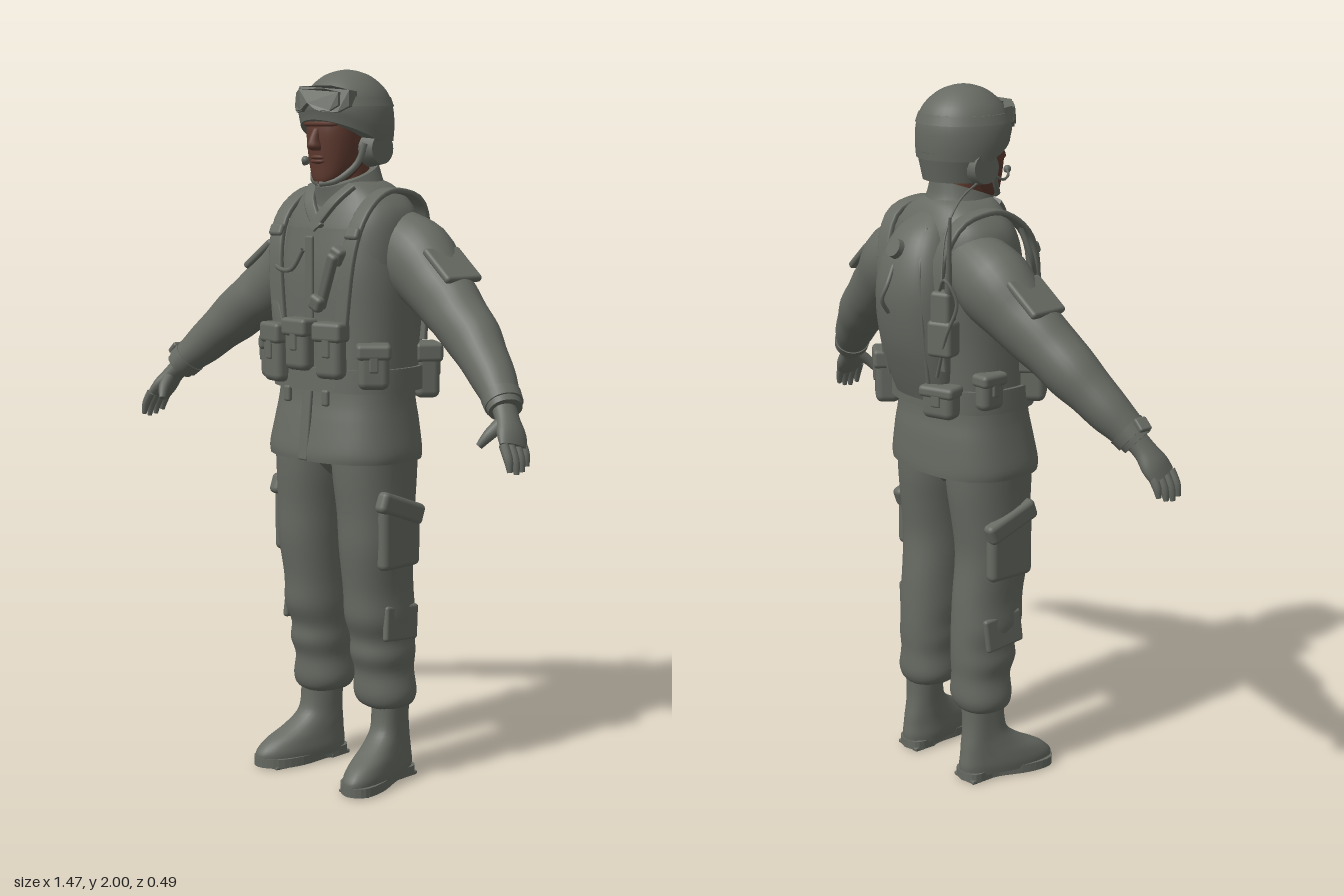
import * as THREE from 'three';
import { RoundedBoxGeometry } from 'three/addons/geometries/RoundedBoxGeometry.js';

const V = (p) => new THREE.Vector3(...p);
const cloth = new THREE.MeshStandardMaterial({ color: 0x666a62, side: THREE.DoubleSide });
cloth.name = 'greyGreenCloth';
const skin = new THREE.MeshStandardMaterial({ color: 0x5e3a2f });
skin.name = 'skin';

// Smooth body through sections [x, y, z, a, b]; a and b are half-widths across the path.
function loft(sections, { n = 2, seg = 28, sub = 4, flat = false, ref = [0, 0, 1] } = {}) {
  const pts = [], cr = (p, q, r, s, t) =>
    0.5 * (2 * q + (r - p) * t + (2 * p - 5 * q + 4 * r - s) * t * t + (3 * q - p - 3 * r + s) * t * t * t);
  const last = sections.length - 1, at = (i) => sections[Math.min(last, Math.max(0, i))];
  for (let i = 0; i < last; i++)
    for (let k = 0; k < sub; k++)
      pts.push(at(i).map((q, c) => cr(at(i - 1)[c], q, at(i + 1)[c], at(i + 2)[c], k / sub)));
  pts.push(sections[last]);
  const pos = [], idx = [], pow = (v) => Math.sign(v) * Math.abs(v) ** (2 / n);
  const ring = (i) => {
    const lo = V(pts[Math.max(0, i - 1)].slice(0, 3)), hi = V(pts[Math.min(pts.length - 1, i + 1)].slice(0, 3));
    const t = hi.sub(lo).normalize();
    if (flat) t.set(0, Math.sign(t.y), 0);
    const u = V(ref).cross(t).normalize(), v = t.clone().cross(u);
    const [x, y, z, a, b] = pts[i];
    for (let j = 0; j < seg; j++) {
      const w = (j / seg) * Math.PI * 2;
      const p = V([x, y, z]).addScaledVector(u, a * pow(Math.cos(w))).addScaledVector(v, b * pow(Math.sin(w)));
      pos.push(p.x, p.y, p.z);
    }
  };
  pts.forEach((_, i) => ring(i));
  for (let i = 0; i < pts.length - 1; i++)
    for (let j = 0; j < seg; j++) {
      const k = (j + 1) % seg, a = i * seg, b = a + seg;
      idx.push(a + j, a + k, b + k, a + j, b + k, b + j);
    }
  for (const i of [0, pts.length - 1]) {
    const base = pos.length / 3;
    ring(i);
    pos.push(...pts[i].slice(0, 3));
    for (let j = 0; j < seg; j++) {
      const k = (j + 1) % seg;
      idx.push(base + seg, base + (i ? j : k), base + (i ? k : j));
    }
  }
  const g = new THREE.BufferGeometry();
  g.setAttribute('position', new THREE.Float32BufferAttribute(pos, 3));
  g.setIndex(idx);
  g.computeVertexNormals();
  return g;
}

// Moves every vertex by a rule.
function warp(g, rule) {
  const p = g.attributes.position, v = new THREE.Vector3();
  for (let i = 0; i < p.count; i++) {
    rule(v.fromBufferAttribute(p, i));
    p.setXYZ(i, v.x, v.y, v.z);
  }
  g.computeVertexNormals();
  return g;
}

export function createModel() {
  const model = new THREE.Group();
  model.name = 'soldier';
  const add = (name, geo, mat = cloth, pos = [0, 0, 0], rot = [0, 0, 0]) => {
    const m = new THREE.Mesh(geo, mat);
    m.name = name;
    m.position.set(...pos);
    m.rotation.set(...rot);
    model.add(m);
    return m;
  };
  const box = (name, size, pos, rot, r = 0.012) =>
    add(name, new RoundedBoxGeometry(...size, 3, Math.min(r, Math.min(...size) * 0.45)), cloth, pos, rot);
  const cord = (name, pts, r) =>
    add(name, new THREE.TubeGeometry(new THREE.CatmullRomCurve3(pts.map(V)), 28, r, 6), cloth);
  const strap = (name, pts, width) =>
    add(name, loft(pts.map((p) => [...p, 0.008, width / 2]), { n: 5, seg: 16, ref: [1, 0, 0] }));
  // Belt pouch with a flap and a fastening tab
  const pouch = (name, [w, h, d], pos, ry = 0) => {
    const body = box(name, [w, h, d], pos, [0, ry, 0], 0.02);
    for (const [s, p] of [[[w + 0.01, h * 0.36, d + 0.01], [0, h * 0.36, 0.002]], [[w * 0.3, h * 0.4, 0.012], [0, h * 0.1, d / 2]]]) {
      const f = box(name + 'Flap', s, p);
      body.add(f);
    }
  };

  // Jacket: [y, half width, front z, back z], grown by an offset for the vest and belt
  const torso = (rows, grow = 0) => loft(rows.map(([y, w, f, b]) =>
    [0, y, (f + b) / 2, w + grow, (f - b) / 2 + grow]), { flat: true, n: 2.5, seg: 40 });
  add('jacket', torso([[0.93, 0.228, 0.215, -0.12], [0.96, 0.23, 0.215, -0.12], [1.04, 0.216, 0.2, -0.115],
    [1.12, 0.205, 0.185, -0.105], [1.3, 0.195, 0.175, -0.11], [1.45, 0.2, 0.172, -0.125], [1.55, 0.2, 0.16, -0.125],
    [1.61, 0.19, 0.142, -0.115], [1.65, 0.16, 0.125, -0.1], [1.685, 0.11, 0.115, -0.08], [1.7, 0.07, 0.1, -0.06]]));
  add('vest', torso([[1.14, 0.2, 0.18, -0.11], [1.3, 0.196, 0.175, -0.115], [1.45, 0.192, 0.172, -0.13], [1.57, 0.175, 0.155, -0.125]], 0.01));
  add('belt', torso([[1.125, 0.205, 0.186, -0.115], [1.19, 0.203, 0.183, -0.115]], 0.017));
  box('jacketPlacket', [0.035, 0.2, 0.012], [0, 1.03, 0.203], [-0.1, 0, 0]);
  box('vestClosure', [0.03, 0.36, 0.012], [0, 1.37, 0.186]);

  // Collar, higher behind the neck
  add('collar', warp(loft([[0, 1.63, 0.03, 0.11, 0.11], [0, 1.67, 0.035, 0.095, 0.1], [0, 1.715, 0.04, 0.075, 0.1]],
    { flat: true }), (v) => { v.y -= 0.35 * (v.z - 0.04); }));
  add('neck', loft([[0, 1.62, 0.03, 0.06, 0.065], [0, 1.78, 0.04, 0.058, 0.06]], { flat: true }), skin);

  // Head and face
  add('head', loft([[0, 1.69, 0.112, 0.03, 0.035], [0, 1.705, 0.1, 0.05, 0.052], [0, 1.74, 0.082, 0.067, 0.073],
    [0, 1.79, 0.072, 0.077, 0.088], [0, 1.84, 0.066, 0.082, 0.095], [0, 1.9, 0.05, 0.085, 0.1]], { flat: true, n: 2.3 }), skin);
  add('nose', loft([[0, 1.84, 0.155, 0.01, 0.012], [0, 1.81, 0.165, 0.014, 0.018], [0, 1.79, 0.165, 0.02, 0.022],
    [0, 1.78, 0.158, 0.014, 0.01]], { flat: true, seg: 14 }), skin);
  for (const y of [1.751, 1.762]) {
    const lip = add('lip', new THREE.SphereGeometry(1, 14, 8), skin, [0, y, 0.153]);
    lip.scale.set(0.026, 0.007, 0.012);
  }
  const brow = add('brow', new THREE.SphereGeometry(1, 16, 8), skin, [0, 1.852, 0.14]);
  brow.scale.set(0.065, 0.012, 0.026);

  // Helmet, with its front rim lifted above the face
  add('helmet', warp(loft([[0, 1.805, 0.04, 0.126, 0.13], [0, 1.85, 0.042, 0.13, 0.135], [0, 1.9, 0.042, 0.124, 0.132],
    [0, 1.945, 0.04, 0.103, 0.112], [0, 1.98, 0.04, 0.066, 0.072], [0, 1.995, 0.04, 0.03, 0.034], [0, 2, 0.04, 0.003, 0.003]],
  { flat: true, seg: 40 }), (v) => {
    v.y += Math.max(0, v.z - 0.04) * 0.45 * Math.min(1, Math.max(0, (1.92 - v.y) / 0.1));
  }));
  add('goggleBand', loft([[0, 1.9, 0.042, 0.128, 0.135], [0, 1.925, 0.042, 0.118, 0.127]], { flat: true, seg: 40 }));
  const goggle = (k) => new THREE.Shape([[-0.1, 0.028], [-0.06, 0.036], [0.06, 0.036], [0.1, 0.028], [0.102, -0.015], [0.08, -0.034],
    [0.035, -0.034], [0, -0.012], [-0.035, -0.034], [-0.08, -0.034], [-0.102, -0.015]].map(([x, y]) => new THREE.Vector2(x * k, y * k)));
  for (const [name, k, z, d] of [['goggleFrame', 1, 0.155, 0.03], ['goggleLens', 0.82, 0.184, 0.008]]) {
    const g = new THREE.ExtrudeGeometry(goggle(k), { depth: d, bevelEnabled: false });
    add(name, warp(g, (v) => { v.z -= v.x * v.x * 5; }), cloth, [0, 1.917, z], [-0.12, 0, 0]);
  }
  add('napeGuard', new THREE.CylinderGeometry(0.112, 0.095, 0.08, 24, 1, true, Math.PI / 2, Math.PI), cloth, [0, 1.785, 0.02]);
  for (const s of [1, -1]) {
    add('earCup', new THREE.CylinderGeometry(0.042, 0.05, 0.045, 20), cloth, [s * 0.1, 1.785, 0.025], [0, 0, -s * Math.PI / 2]);
    cord('chinStrap', [[s * 0.1, 1.8, 0.07], [s * 0.083, 1.745, 0.085], [s * 0.045, 1.7, 0.125], [0, 1.69, 0.145]], 0.009);
  }
  cord('microphoneBoom', [[-0.115, 1.775, 0.04], [-0.095, 1.745, 0.1], [-0.05, 1.745, 0.16], [-0.015, 1.755, 0.185]], 0.004);
  add('microphone', new THREE.SphereGeometry(0.011, 12, 8), cloth, [-0.015, 1.755, 0.186]);
  cord('headsetCable', [[-0.1, 1.75, 0.02], [-0.115, 1.71, -0.06], [-0.14, 1.63, -0.13], [-0.17, 1.5, -0.17]], 0.003);

  for (const s of [1, -1]) {
    // Arms: sleeve, cuff, glove
    add('sleeve', loft([[0.1, 1.55, -0.02, 0.085, 0.085], [0.21, 1.487, -0.02, 0.112, 0.102], [0.3, 1.415, -0.005, 0.094, 0.088],
      [0.36, 1.372, 0.008, 0.089, 0.08], [0.41, 1.335, 0.022, 0.08, 0.078], [0.47, 1.288, 0.036, 0.077, 0.073], [0.52, 1.245, 0.055, 0.066, 0.066],
      [0.57, 1.2, 0.074, 0.06, 0.06], [0.61, 1.163, 0.094, 0.05, 0.053], [0.645, 1.127, 0.112, 0.043, 0.047]].map((p) => [s * p[0], ...p.slice(1)])));
    add('cuff', loft([[0.615, 1.158, 0.096, 0.052, 0.055], [0.635, 1.138, 0.106, 0.05, 0.053]].map((p) => [s * p[0], ...p.slice(1)])));
    box('sleevePocket', [0.13, 0.022, 0.125], [s * 0.358, 1.478, 0], [0, -s * 0.12, -s * 0.66]);
    add('palm', loft([[0.63, 1.14, 0.105, 0.03, 0.035], [0.66, 1.105, 0.122, 0.026, 0.036], [0.685, 1.07, 0.135, 0.025, 0.046],
      [0.703, 1.04, 0.148, 0.018, 0.045]].map((p) => [s * p[0], ...p.slice(1)])));
    for (let i = 0; i < 4; i++) {
      const z = 0.112 + i * 0.023, l = [0.8, 0.95, 1, 0.9][i];
      add('finger', loft([[0.698, 1.05, z, 0.013, 0.013], [0.698 + 0.022 * l, 1.05 - 0.04 * l, z + 0.004, 0.012, 0.012],
        [0.698 + 0.03 * l, 1.05 - 0.075 * l, z + 0.006, 0.007, 0.007]].map((p) => [s * p[0], ...p.slice(1)]), { seg: 10 }));
    }
    add('thumb', loft([[0.66, 1.1, 0.14, 0.02, 0.018], [0.645, 1.07, 0.175, 0.016, 0.015], [0.628, 1.04, 0.195, 0.009, 0.01]]
      .map((p) => [s * p[0], ...p.slice(1)]), { seg: 12 }));

    // Trousers with thigh pocket and knee patch
    add('trouserLeg', loft([[0.112, 0.98, 0.045, 0.11, 0.128], [0.114, 0.88, 0.045, 0.104, 0.125], [0.12, 0.78, 0.047, 0.097, 0.115],
      [0.123, 0.68, 0.05, 0.094, 0.108], [0.12, 0.56, 0.037, 0.088, 0.105], [0.122, 0.48, 0.032, 0.09, 0.105], [0.12, 0.42, 0.02, 0.083, 0.095],
      [0.122, 0.37, 0.02, 0.086, 0.095], [0.121, 0.32, 0.013, 0.08, 0.085], [0.123, 0.26, 0.012, 0.09, 0.085],
      [0.126, 0.228, 0.012, 0.08, 0.075], [0.13, 0.215, 0.01, 0.055, 0.06]].map((p) => [s * p[0], ...p.slice(1)]), { flat: true, n: 2.2 }));
    box('thighPocket', [0.04, 0.18, 0.15], [s * 0.205, 0.72, 0.045], [0, 0, 0], 0.018);
    box('thighPocketFlap', [0.04, 0.06, 0.175], [s * 0.212, 0.8, 0.045], [-0.35, 0, 0], 0.015);
    box('calfPatch', [0.02, 0.1, 0.13], [s * 0.2, 0.47, 0.03], [-0.1, 0, s * 0.05]);

    // Boots with toes turned slightly outward
    const turn = (v) => { v.x += s * 0.2 * Math.max(0, v.z); };
    add('boot', warp(loft([[0.137, 0.02, 0.078, 0.058, 0.145], [0.137, 0.045, 0.076, 0.06, 0.145], [0.137, 0.075, 0.062, 0.057, 0.127],
      [0.136, 0.105, 0.035, 0.053, 0.096], [0.135, 0.14, 0.014, 0.05, 0.069], [0.134, 0.18, 0.008, 0.05, 0.06],
      [0.133, 0.25, 0.006, 0.052, 0.06]].map((p) => [s * p[0], ...p.slice(1)]), { flat: true, n: 2.3 }), turn));
    const sole = new THREE.Shape();
    sole.setFromPoints(new THREE.SplineCurve([[0, -0.072], [0.045, -0.05], [0.046, 0.03], [0.062, 0.12], [0.05, 0.195], [0, 0.226],
      [-0.05, 0.195], [-0.062, 0.12], [-0.046, 0.03], [-0.045, -0.05], [0, -0.072]].map((p) => new THREE.Vector2(...p))).getPoints(40));
    const soleGeo = new THREE.ExtrudeGeometry(sole, { depth: 0.026, bevelEnabled: false }).rotateX(Math.PI / 2).translate(s * 0.137, 0.03, 0);
    add('sole', warp(soleGeo, turn));
    box('heel', [0.09, 0.012, 0.075], [s * 0.137, 0.006, -0.025], [0, 0, 0], 0.004);
    box('toeTread', [0.1, 0.008, 0.11], [s * 0.165, 0.004, 0.14], [0, s * 0.2, 0], 0.003);

    // Shoulder harness, lapels and side pouches
    strap('shoulderStrap', [[s * 0.12, 1.3, 0.186], [s * 0.14, 1.48, 0.18], [s * 0.15, 1.59, 0.148], [s * 0.148, 1.655, 0.08],
      [s * 0.145, 1.672, 0], [s * 0.14, 1.635, -0.1], [s * 0.12, 1.5, -0.145], [s * 0.12, 1.25, -0.13]], 0.05);
    strap('lapel', [[s * 0.075, 1.685, 0.095], [s * 0.045, 1.64, 0.14], [-s * 0.012, 1.57, 0.163]], 0.035);
    box('strapBuckle', [0.05, 0.035, 0.02], [s * 0.148, 1.56, 0.168], [-0.4, 0, 0]);
    pouch('sidePouch', [0.085, 0.12, 0.09], [s * 0.19, 1.2, 0.13], s * 0.8);
    box('beltClip', [0.025, 0.045, 0.015], [s * 0.075, 1.11, 0.2]);
  }
  add('trouserSeat', loft([[0, 0.98, 0.04, 0.17, 0.12], [0, 0.93, 0.04, 0.1, 0.11], [0, 0.88, 0.04, 0.02, 0.07]], { flat: true }));

  // Front pouches
  pouch('magazinePouch', [0.085, 0.16, 0.05], [-0.12, 1.22, 0.198], -0.2);
  pouch('magazinePouch', [0.085, 0.14, 0.05], [-0.02, 1.25, 0.205]);
  pouch('magazinePouch', [0.085, 0.15, 0.05], [0.1, 1.24, 0.203], 0.2);

  // Chest equipment: sheath on the left strap, hose on the right
  box('chestSheath', [0.035, 0.17, 0.025], [0.08, 1.43, 0.2], [0.12, 0, -0.45]);
  box('sheathHandle', [0.045, 0.05, 0.035], [0.112, 1.5, 0.19], [0.12, 0, -0.45]);
  box('sheathTip', [0.045, 0.045, 0.03], [0.05, 1.37, 0.208], [0.12, 0, -0.45]);
  cord('chestHose', [[-0.165, 1.62, 0.11], [-0.18, 1.53, 0.14], [-0.13, 1.46, 0.186], [-0.07, 1.455, 0.19], [-0.03, 1.51, 0.183]], 0.007);
  strap('chestStrap', [[-0.17, 1.45, 0.16], [-0.14, 1.38, 0.183], [-0.11, 1.3, 0.19]], 0.03);

  // Back pack with filler cap and carrying straps
  add('backPack', loft([[0, 1.15, -0.1, 0.11, 0.04], [0, 1.22, -0.11, 0.125, 0.058], [0, 1.32, -0.12, 0.13, 0.08], [0, 1.45, -0.125, 0.128, 0.092],
    [0, 1.55, -0.115, 0.11, 0.083], [0, 1.62, -0.09, 0.08, 0.066], [0, 1.665, -0.06, 0.04, 0.03]], { flat: true, n: 2.2 }));
  add('fillerCap', new THREE.CylinderGeometry(0.026, 0.028, 0.02, 20), cloth, [0, 1.575, -0.192], [-1.1, 0, 0]);
  cord('packCable', [[0, 1.53, -0.2], [-0.01, 1.48, -0.23], [0, 1.44, -0.24], [0.005, 1.4, -0.215]], 0.006);
  for (const s of [1, -1])
    cord('packPiping', [[s * 0.05, 1.63, -0.125], [s * 0.085, 1.53, -0.175], [s * 0.1, 1.4, -0.18], [s * 0.09, 1.2, -0.15]], 0.006);

  // Radio with antenna on the right, canteen on the left, utility pouch behind
  box('radio', [0.06, 0.16, 0.05], [-0.155, 1.4, -0.15], [0, 0.4, 0]);
  box('radioHolder', [0.075, 0.1, 0.06], [-0.155, 1.35, -0.15], [0, 0.4, 0]);
  add('antenna', new THREE.CylinderGeometry(0.004, 0.01, 0.22, 8), cloth, [-0.195, 1.58, -0.162], [-0.1, 0, 0.16]);
  cord('radioCable', [[-0.15, 1.48, -0.16], [-0.2, 1.52, -0.18], [-0.225, 1.46, -0.16], [-0.19, 1.36, -0.17], [-0.14, 1.24, -0.16]], 0.005);
  pouch('canteenPouch', [0.085, 0.15, 0.07], [0.175, 1.17, -0.095], 2.55);
  pouch('utilityPouch', [0.1, 0.09, 0.06], [-0.12, 1.16, -0.13], Math.PI + 0.35);
  pouch('hipPouch', [0.08, 0.1, 0.05], [-0.205, 1.19, -0.03], -1.5);
  box('wristWatch', [0.04, 0.016, 0.04], [-0.672, 1.182, 0.1], [0, 0, 0.75], 0.006);
  return model;
}
